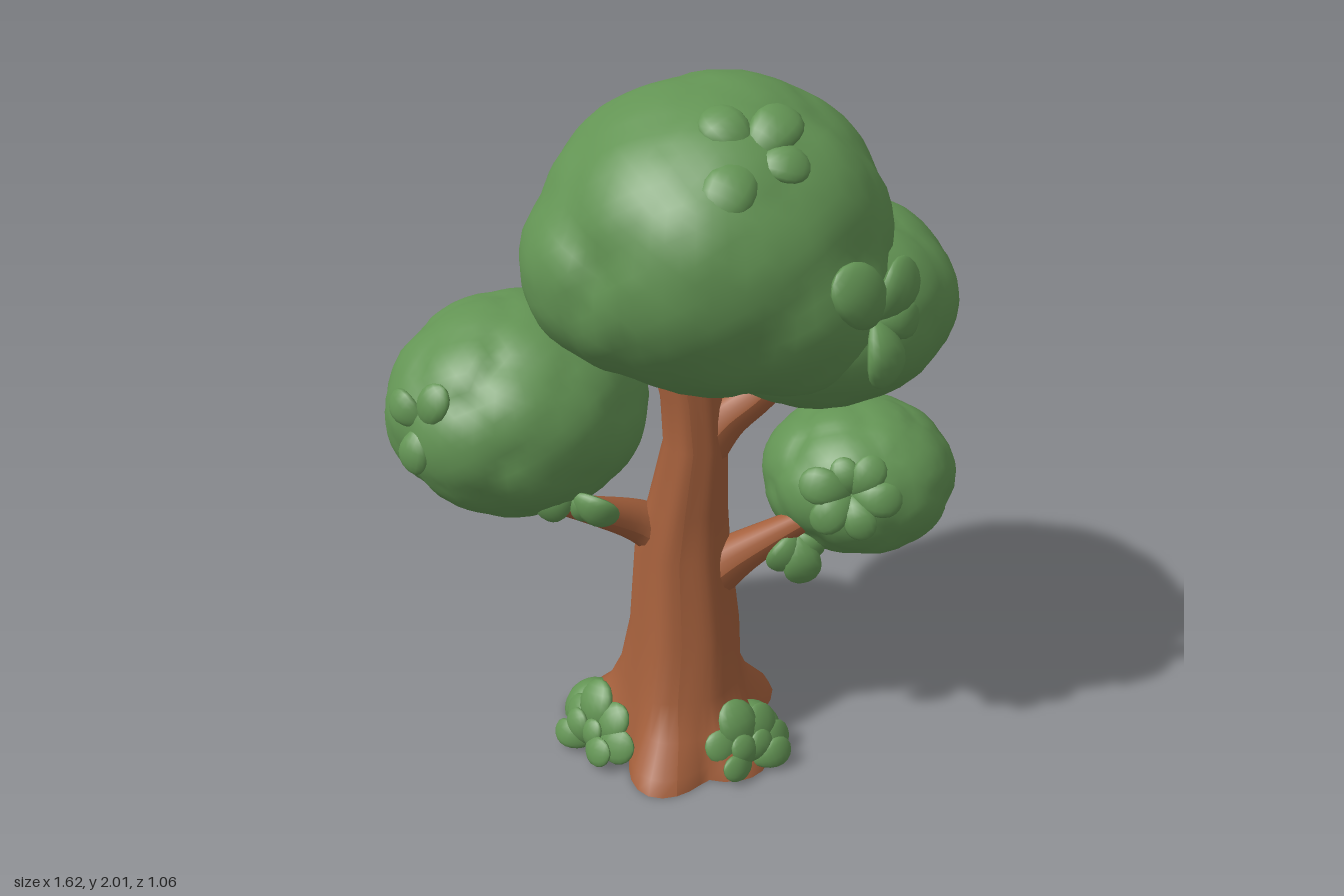
import * as THREE from 'three';
import { mergeVertices } from 'three/addons/utils/BufferGeometryUtils.js';

const leafGreen = new THREE.MeshStandardMaterial({ color: 0x639454 });
leafGreen.name = 'leafGreen';
const barkBrown = new THREE.MeshStandardMaterial({ color: 0xa5603c });
barkBrown.name = 'barkBrown';

function seeded(seed) {
  let s = seed * 7919 + 17;
  return () => (s = (s * 16807) % 2147483647) / 2147483647;
}

function addMesh(parent, name, geometry, material) {
  const mesh = new THREE.Mesh(geometry, material);
  mesh.name = name;
  parent.add(mesh);
  return mesh;
}

// Distance along direction d from the origin to the far side of an ellipsoid
function lobeDistance(d, [cx, cy, cz, rx, ry, rz]) {
  const u = new THREE.Vector3(d.x / rx, d.y / ry, d.z / rz);
  const o = new THREE.Vector3(cx / rx, cy / ry, cz / rz);
  const a = u.dot(u), b = u.dot(o), disc = b * b - a * (o.dot(o) - 1);
  return disc > 0 ? (b + Math.sqrt(disc)) / a : 0;
}

// One skin around several ellipsoid lobes [offset xyz, radii xyz], with rounded bumps
function foliage(lobes, seed, bumps, depth) {
  const rand = seeded(seed);
  const centres = [];
  for (let i = 0; i < bumps; i++) {
    const y = 1 - (2 * (i + 0.5)) / bumps, a = i * 2.39996 + rand() * 0.5;
    const r = Math.sqrt(1 - y * y);
    centres.push(new THREE.Vector3(Math.cos(a) * r, y, Math.sin(a) * r));
  }
  const spacing = Math.sqrt((4 * Math.PI) / bumps);
  const reach = centres.map(() => spacing * (0.72 + rand() * 0.25));
  let geo = new THREE.IcosahedronGeometry(1, 13);
  geo.deleteAttribute('normal');
  geo.deleteAttribute('uv');
  geo = mergeVertices(geo, 1e-4);
  const p = geo.attributes.position, v = new THREE.Vector3();
  for (let i = 0; i < p.count; i++) {
    v.fromBufferAttribute(p, i).normalize();
    let lift = 0;
    centres.forEach((c, k) => {
      lift = Math.max(lift, 1 - (v.distanceTo(c) / reach[k]) ** 2);
    });
    const skin = Math.max(...lobes.map((lobe) => lobeDistance(v, lobe)));
    v.multiplyScalar(skin * (1 - depth + depth * Math.sqrt(lift) * 1.15 + (rand() - 0.5) * 0.009));
    p.setXYZ(i, v.x, v.y, v.z);
  }
  geo.computeVertexNormals();
  return geo;
}

// Trunk sections: height, centre x, centre z, radius x, radius z, root flare
const SECTIONS = [
  [0, 0.03, 0.08, 0.19, 0.24, 0.13],
  [0.04, 0.03, 0.08, 0.19, 0.235, 0.11],
  [0.12, 0.03, 0.08, 0.18, 0.22, 0.05],
  [0.22, 0.025, 0.075, 0.175, 0.2, 0.015],
  [0.4, 0.035, 0.08, 0.16, 0.17, 0.006],
  [0.65, 0.025, 0.08, 0.14, 0.13, 0],
  [0.8, 0.04, 0.09, 0.116, 0.118, 0],
  [1.0, 0.063, 0.1, 0.092, 0.098, 0],
  [1.15, 0.05, 0.11, 0.087, 0.084, 0],
  [1.3, 0.02, 0.11, 0.095, 0.08, 0],
];
// Root direction in degrees and relative length
const ROOTS = [[100, 1], [38, 1], [-38, 1.1], [-108, 1], [192, 1.4]];

function trunkGeometry() {
  const rows = SECTIONS.length - 1;
  const geo = new THREE.CylinderGeometry(1, 1, 1, 48, rows);
  const p = geo.attributes.position;
  for (let i = 0; i < p.count; i++) {
    const [h, cx, cz, rx, rz, flare] = SECTIONS[Math.round((p.getY(i) + 0.5) * rows)];
    const x = p.getX(i), z = p.getZ(i), a = Math.atan2(z, x);
    let root = 0;
    for (const [deg, length] of ROOTS) {
      root = Math.max(root, length * Math.max(0, Math.cos(a - THREE.MathUtils.degToRad(deg))) ** 7);
    }
    const ridge = 1 + 0.025 * Math.sin(a * 7 + h * 2);
    p.setXYZ(i, cx + x * (rx * ridge + flare * root), h, cz + z * (rz * ridge + flare * root));
  }
  geo.computeVertexNormals();
  return geo;
}

// Tapered limb along a curve
function limb(points, r0, r1) {
  const curve = new THREE.CatmullRomCurve3(points.map((q) => new THREE.Vector3(...q)));
  const rows = 14, sides = 14;
  const geo = new THREE.TubeGeometry(curve, rows, 1, sides, false);
  const p = geo.attributes.position, v = new THREE.Vector3();
  for (let i = 0; i < p.count; i++) {
    const t = Math.floor(i / (sides + 1)) / rows;
    const c = curve.getPointAt(t);
    v.fromBufferAttribute(p, i).sub(c).multiplyScalar(r0 + (r1 - r0) * t ** 0.7).add(c);
    p.setXYZ(i, v.x, v.y, v.z);
  }
  geo.computeVertexNormals();
  return geo;
}

// Plump leaf growing along +y from its stem end
function leafGeometry() {
  const geo = new THREE.SphereGeometry(1, 14, 10);
  const p = geo.attributes.position;
  for (let i = 0; i < p.count; i++) {
    const t = (p.getY(i) + 1) / 2;
    p.setXYZ(i, p.getX(i) * 0.37 * (0.7 + 0.45 * t), t, p.getZ(i) * 0.15 + 0.12 * Math.sin(t * Math.PI));
  }
  geo.computeVertexNormals();
  return geo;
}
const LEAF = leafGeometry();

// Leaves fanned around a point; each leaf is [clockwise degrees from up, length]
function leafCluster(name, position, normal, leaves, tilt = 0.1) {
  const group = new THREE.Group();
  group.name = name;
  group.position.set(...position);
  group.lookAt(new THREE.Vector3(...position).add(new THREE.Vector3(...normal)));
  for (const [angle, length] of leaves) {
    const leaf = addMesh(group, 'leaf', LEAF, leafGreen);
    leaf.scale.setScalar(length);
    leaf.rotation.set(tilt, 0, -THREE.MathUtils.degToRad(angle), 'ZXY');
  }
  return group;
}

export function createModel() {
  const tree = new THREE.Group();
  tree.name = 'tree';

  // Trunk and limbs
  addMesh(tree, 'trunk', trunkGeometry(), barkBrown);
  addMesh(tree, 'leftBranch', limb([[0.0, 0.66, 0.08], [-0.09, 0.735, 0.11], [-0.22, 0.825, 0.21], [-0.35, 0.91, 0.32]], 0.09, 0.022), barkBrown);
  addMesh(tree, 'rightBranch', limb([[0.11, 0.555, 0.08], [0.19, 0.63, 0.1], [0.29, 0.715, 0.13], [0.38, 0.79, 0.16]], 0.09, 0.035), barkBrown);
  addMesh(tree, 'upperBranch', limb([[0.09, 0.99, 0.1], [0.15, 1.07, 0.1], [0.25, 1.16, 0.1], [0.3, 1.23, 0.09]], 0.075, 0.045), barkBrown);

  // Crowns: name, centre, lobes, bump count, bump depth
  const mainLobes = [
    [0.03, 0.06, 0, 0.48, 0.425, 0.53],
    [-0.155, 0, 0.04, 0.34, 0.3, 0.42],
    [0.07, -0.06, 0.08, 0.4, 0.285, 0.4],
    [0.22, -0.04, 0.16, 0.28, 0.28, 0.32],
    [-0.06, -0.1, -0.15, 0.35, 0.29, 0.34],
  ];
  const crowns = [
    ['mainCrown', [0.08, 1.52, 0], mainLobes, 36, 0.07],
    ['sideCrown', [0.38, 1.385, -0.07], [[0, 0, 0, 0.405, 0.295, 0.43]], 28, 0.08],
    ['leftCrown', [-0.44, 1.1, 0.08], [[0, 0, 0, 0.37, 0.305, 0.385]], 36, 0.09],
    ['rightCrown', [0.535, 0.86, 0], [[0, 0, 0, 0.28, 0.225, 0.275]], 30, 0.09],
  ];
  crowns.forEach(([name, centre, lobes, bumps, depth], i) => {
    addMesh(tree, name, foliage(lobes, i + 3, bumps, depth), leafGreen).position.set(...centre);
  });

  // Leaf sprigs on the crowns and branches
  tree.add(
    leafCluster('topSprig', [0.2, 1.86, 0.32], [0.1, 0.72, 0.7], [[-35, 0.17], [42, 0.18], [105, 0.15], [212, 0.19]]),
    leafCluster('sideSprig', [0.53, 1.46, 0.33], [0.65, 0.1, 0.75], [[-45, 0.22], [35, 0.18], [178, 0.18], [100, 0.14]]),
    leafCluster('leftSprig', [-0.64, 1.15, 0.36], [-0.5, 0.2, 0.84], [[30, 0.14], [-60, 0.13], [190, 0.14], [110, 0.08]]),
    leafCluster('rightSprig', [0.5, 0.92, 0.255], [-0.05, 0.3, 0.95], [[-75, 0.15], [-20, 0.11], [35, 0.13], [95, 0.14], [160, 0.13], [225, 0.14]]),
    leafCluster('hangingLeaves', [0.36, 0.74, 0.16], [0.2, 0, 1], [[215, 0.13], [172, 0.16], [135, 0.1]]),
    leafCluster('branchLeaves', [-0.26, 0.93, 0.32], [-0.1, -0.2, 1], [[235, 0.12], [115, 0.14], [150, 0.09]]),
  );

  // Bushy leaves at the foot of the trunk
  const fan = [[-10, 0.18], [36, 0.16], [-58, 0.15], [80, 0.16]];
  const low = [[-80, 0.12], [-30, 0.12], [25, 0.11], [78, 0.13]];
  const feet = [
    ['leftGround', [-0.22, 0.03, 0.2], [-0.6, 0.35, 0.7]],
    ['rightGround', [0.22, 0.03, 0.25], [0.5, 0.3, 0.75]],
  ];
  for (const [name, position, normal] of feet) {
    tree.add(leafCluster(name + 'Leaves', position, normal, fan, 0.12));
    const front = [position[0] + normal[0] * 0.05, 0.03, position[2] + normal[2] * 0.06];
    tree.add(leafCluster(name + 'LowLeaves', front, normal, low, 0.3));
  }
  // Mossy mounds over the side roots
  for (const [name, x, z] of [['leftMoss', -0.25, 0.03], ['rightMoss', 0.24, 0.12]]) {
    const moss = addMesh(tree, name, new THREE.SphereGeometry(1, 18, 8, 0, Math.PI * 2, 0, Math.PI / 2), leafGreen);
    moss.scale.set(0.1, 0.11, 0.09);
    moss.position.set(x, 0, z);
  }
  return tree;
}
